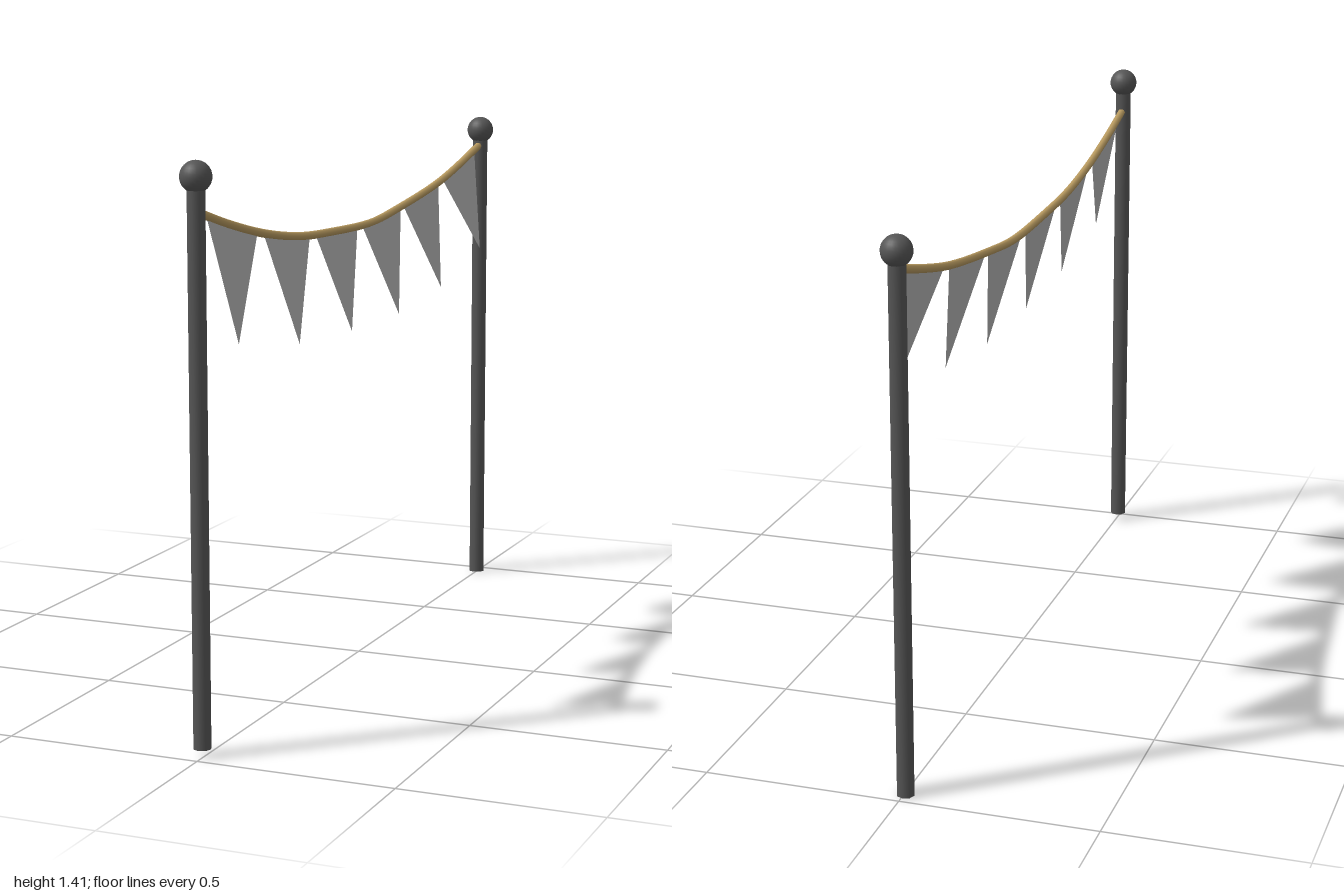
import * as THREE from 'three';

const X = -0.004; // shared centre line of poles and rope

export function createModel() {
  const poleGrey = new THREE.MeshStandardMaterial({ color: 0x565656 });
  poleGrey.name = 'poleGrey';
  const ropeTan = new THREE.MeshStandardMaterial({ color: 0xb89a60 });
  ropeTan.name = 'ropeTan';
  const flagGrey = new THREE.MeshStandardMaterial({ color: 0xb4b4b4, side: THREE.DoubleSide });
  flagGrey.name = 'flagGrey';

  const model = new THREE.Group();
  model.name = 'pennantLine';
  const add = (name, geometry, material, x = 0, y = 0, z = 0) => {
    const mesh = new THREE.Mesh(geometry, material);
    mesh.name = name;
    mesh.position.set(x, y, z);
    model.add(mesh);
  };

  // Poles with ball finials; the front one stands slightly higher
  for (const [side, z, base] of [['front', 0.962, 0.02], ['back', -0.962, 0]]) {
    const height = 1.345;
    add(side + 'Pole', new THREE.CylinderGeometry(0.0225, 0.0225, height, 8), poleGrey, X, base + height / 2, z);
    add(side + 'Ball', new THREE.SphereGeometry(0.038, 24, 16), poleGrey, X, base + 1.35, z);
  }

  // Sagging rope, as (z, y) points
  const ropePoints = [
    [0.955, 1.288], [0.78, 1.242], [0.58, 1.2], [0.38, 1.173], [0.18, 1.163],
    [-0.1, 1.16], [-0.3, 1.18], [-0.6, 1.222], [-0.78, 1.261], [-0.955, 1.306],
  ].map(([z, y]) => new THREE.Vector3(X, y, z));
  const ropeCurve = new THREE.CatmullRomCurve3(ropePoints);
  add('rope', new THREE.TubeGeometry(ropeCurve, 48, 0.0105, 8), ropeTan);

  // Triangular flags: two top corners and a tip that swings outward, as (z, y)
  const flags = [
    [0.91, 1.275, 0.63, 1.207, 0.834, 0.969],
    [0.594, 1.2, 0.315, 1.167, 0.481, 0.918],
    [0.278, 1.165, 0, 1.158, 0.144, 0.902],
    [-0.032, 1.158, -0.312, 1.177, -0.19, 0.902],
    [-0.332, 1.182, -0.606, 1.223, -0.515, 0.936],
    [-0.642, 1.228, -0.909, 1.293, -0.842, 1.01],
  ];
  flags.forEach(([z1, y1, z2, y2, zTip, yTip], i) => {
    const geometry = new THREE.BufferGeometry();
    geometry.setAttribute('position', new THREE.Float32BufferAttribute(
      [X, y1, z1, 0.04, yTip, zTip, X, y2, z2], 3));
    geometry.computeVertexNormals();
    add('flag' + (i + 1), geometry, flagGrey);
  });

  return model;
}
